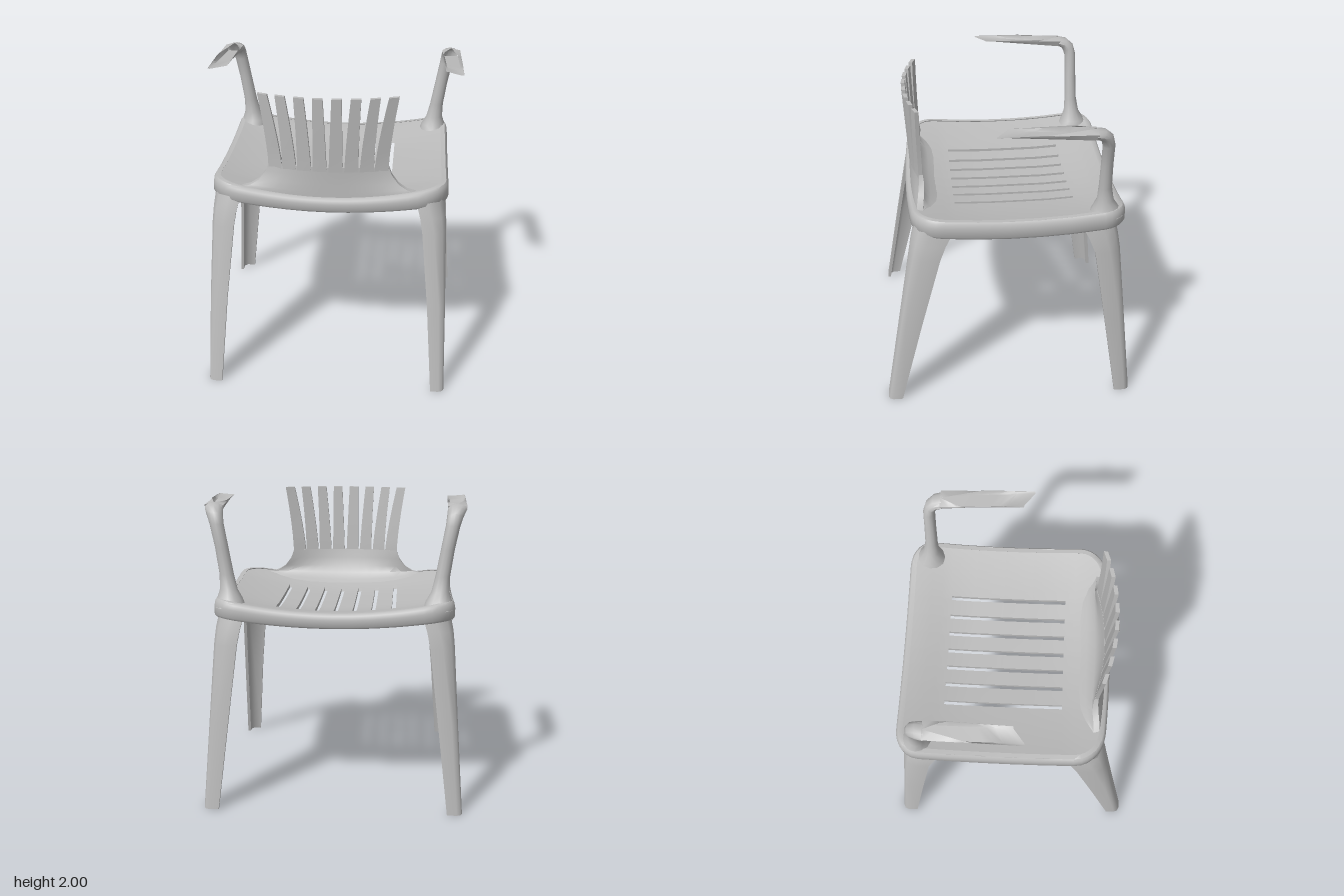
import * as THREE from 'three';
import { toCreasedNormals } from 'three/addons/utils/BufferGeometryUtils.js';

const plastic = new THREE.MeshStandardMaterial({ color: 0xbcbcbc, side: THREE.DoubleSide });
plastic.name = 'grey plastic';
const { lerp, smoothstep } = THREE.MathUtils;

// Collects quads and makes a mesh with smooth faces and sharp edges
function meshFromQuads(name, quads, crease = 0.7) {
  const pos = [];
  for (const [a, b, c, d] of quads) pos.push(...a, ...b, ...c, ...a, ...c, ...d);
  const geo = new THREE.BufferGeometry();
  geo.setAttribute('position', new THREE.Float32BufferAttribute(pos, 3));
  const mesh = new THREE.Mesh(toCreasedNormals(geo, crease), plastic);
  mesh.name = name;
  return mesh;
}

// Quads between successive cross-sections
function loft(rings, closed = true) {
  const quads = [];
  for (let i = 0; i + 1 < rings.length; i++) {
    const a = rings[i], b = rings[i + 1], n = a.length;
    for (let j = 0; j < (closed ? n : n - 1); j++) {
      const k = (j + 1) % n;
      quads.push([a[j], b[j], b[k], a[k]]);
    }
  }
  return quads;
}

// Seat outline and dished height: sides sweep up to the corners, front and back lips rise
const halfWidth = 0.765;
const corner = (x, start) => {
  const t = Math.min(1, Math.max(0, (Math.abs(x) - start) / (halfWidth - start)));
  return 1 - Math.sqrt(1 - t * t);
};
const backZ = x => 0.63 - 0.07 * Math.min(x * x, 0.36) - 0.19 * corner(x, 0.56);
const frontZ = x => -0.755 + 0.14 * corner(x, 0.6);
const seatY = (x, z) => {
  const side = (x / halfWidth) ** 2, end = Math.abs(z + 0.06) / 0.69;
  return 1.27 + 0.09 * side + 0.05 * (side * end * end + (1 - side) * smoothstep(end, 0.45, 1));
};

function seatColumns() {
  const xs = [0.45, 0.52, 0.58, 0.63, 0.67, 0.7, 0.725, 0.745, 0.758, halfWidth];
  const all = xs.flatMap(x => [x, -x]);
  for (const s of [-0.385, -0.25, -0.125, 0, 0.125, 0.25, 0.385]) all.push(s - 0.014, s + 0.014);
  return all.sort((a, b) => a - b);
}

function makeSeat() {
  const xs = seatColumns();
  const slotRows = [-0.47, -0.3, -0.1, 0.1, 0.33];
  const rowZ = x => [
    ...[0, 0.25, 0.5, 0.75].map(t => lerp(frontZ(x), -0.47, t)),
    ...slotRows,
    ...[0.25, 0.5, 0.75, 1].map(t => lerp(0.33, backZ(x), t)),
  ];
  const top = xs.map(x => rowZ(x).map(z => [x, seatY(x, z), z]));
  const under = top.map(col => col.map(([x, y, z]) => [x, y - 0.025, z]));
  const quads = [];
  for (let i = 0; i + 1 < xs.length; i++) {
    const isSlot = xs[i + 1] - xs[i] < 0.029 && Math.abs(xs[i]) < 0.42;
    for (let j = 0; j + 1 < top[0].length; j++) {
      if (isSlot && j >= 4 && j < 8) {
        // slot side walls
        for (const k of [i, i + 1]) quads.push([top[k][j], top[k][j + 1], under[k][j + 1], under[k][j]]);
        continue;
      }
      quads.push([top[i][j], top[i][j + 1], top[i + 1][j + 1], top[i + 1][j]]);
      quads.push([under[i][j], under[i + 1][j], under[i + 1][j + 1], under[i][j + 1]]);
    }
  }
  return meshFromQuads('seat', quads);
}

// Apron around the seat, slightly deeper at the sides
function makeRim() {
  const xs = seatColumns();
  const outline = xs.map(x => [x, frontZ(x)]);
  for (const z of [-0.4, -0.2, 0, 0.2]) outline.push([halfWidth, z]);
  for (const x of [...xs].reverse()) outline.push([x, backZ(x)]);
  for (const z of [0.2, 0, -0.2, -0.4]) outline.push([-halfWidth, z]);
  const profile = [[-0.03, 0], [0, 0], [0.012, -0.13], [0.018, -0.4], [0.018, -0.87], [0.008, -1], [-0.01, -1], [-0.015, -0.26]];
  const n = outline.length;
  const rings = outline.map(([x, z], i) => {
    const p = outline[(i + n - 1) % n], q = outline[(i + 1) % n];
    const dx = q[0] - p[0], dz = q[1] - p[1], len = Math.hypot(dx, dz) || 1;
    const depth = 0.095 + 0.025 * (x / halfWidth) ** 2;
    return profile.map(([o, h]) => [x + o * dz / len, seatY(x, z) + h * depth, z - o * dx / len]);
  });
  return meshFromQuads('seatRim', loft([...rings, rings[0]]), 0.9);
}

// Backrest: curved surface shared by the lower panel and slats, flatter at its foot
const backrestZ = (x, y) =>
  0.605 + 0.03 * Math.max(0, (y - 1.5) / 0.5) - lerp(0.1, 0.4, smoothstep(y, 1.3, 1.55)) * x * x;

function makeBackPanel() {
  // height, half width, thickness, lift toward the sides
  const stations = [
    [1.28, 0.6, 0.2, 0.2], [1.315, 0.57, 0.13, 0.14], [1.36, 0.51, 0.075, 0.06],
    [1.41, 0.455, 0.05, 0], [1.47, 0.41, 0.035, 0], [1.53, 0.388, 0.025, 0],
  ];
  const steps = 12;
  const rings = stations.map(([y, w, t, lift]) => {
    const outer = [], inner = [];
    for (let k = 0; k <= steps; k++) {
      const u = lerp(-1, 1, k / steps), x = u * w, h = y + lift * x * x;
      const z = backrestZ(x, y) + 0.01;
      outer.push([x, h, z]);
      inner.unshift([x, h, z - lerp(t, Math.min(t, 0.04), u ** 4)]);
    }
    return [...outer, ...inner];
  });
  const top = rings[rings.length - 1], quads = loft(rings);
  for (let k = 0; k < steps; k++) quads.push([top[k], top[k + 1], top[2 * steps - k], top[2 * steps + 1 - k]]);
  return meshFromQuads('backPanel', quads);
}

function makeSlat(bottomX, topX, side) {
  const rings = [];
  for (let i = 0; i <= 7; i++) {
    const t = i / 7, y = lerp(1.5, 2, t);
    const x = side * lerp(bottomX, topX, t ** 1.4);
    const w = lerp(0.045, 0.032, t);
    const ring = [[-w, 0.012], [w, 0.012], [w, -0.014], [-w, -0.014]];
    rings.push(ring.map(([dx, dz]) => [x + dx, y, backrestZ(x + dx, y) + dz]));
  }
  const quads = loft(rings);
  quads.push(rings[7]);
  return meshFromQuads('backSlat', quads);
}

// Legs: hollow angle sections, rounder at the top; stations are y, outer x, outer z, x width, z width
function makeLeg(name, stations, zSide) {
  const rings = stations.map(([y, ox, oz, wx, wz]) => {
    const c = 0.035 + 0.07 * (y / 1.3) ** 3, r = 0.3 * c, t = 0.022;
    const section = [[0, wz], [0, c], [r, r], [c, 0], [wx, 0], [wx, t], [c + 0.01, t], [t, c + 0.01], [t, wz]];
    return section.map(([x, z]) => [ox - x, y, zSide * (oz - z)]);
  });
  const quads = loft(rings);
  const f = rings[0];
  quads.push([f[0], f[1], f[7], f[8]], [f[1], f[2], f[6], f[7]], [f[2], f[3], f[6], f[6]], [f[3], f[4], f[5], f[6]]);
  return meshFromQuads(name, quads, 0.9);
}

// Arm post bending forward into the arm; stations are x, y, z, half width, half depth, tilt
function makeArmPost() {
  const stations = [
    [0.675, 1.34, -0.635, 0.1, 0.115, 0], [0.677, 1.39, -0.63, 0.085, 0.085, 0], [0.685, 1.45, -0.622, 0.058, 0.055, 0],
    [0.698, 1.55, -0.615, 0.047, 0.043, 0], [0.726, 1.72, -0.612, 0.044, 0.04, 0], [0.755, 1.87, -0.61, 0.046, 0.04, 0.1],
    [0.768, 1.925, -0.595, 0.052, 0.042, 0.6], [0.778, 1.955, -0.565, 0.058, 0.038, 1.1], [0.785, 1.968, -0.52, 0.062, 0.03, 1.5],
  ];
  const rings = stations.map(([x, y, z, w, d, tilt]) => {
    const ring = [];
    for (let k = 0; k < 12; k++) {
      const a = k / 12 * Math.PI * 2, s = d * Math.sin(a);
      ring.push([x + w * Math.cos(a), y - s * Math.sin(tilt), z + s * Math.cos(tilt)]);
    }
    return ring;
  });
  return meshFromQuads('armPost', loft(rings));
}

// Open-topped arm, thinning toward its tip
function makeArm() {
  const rings = [];
  for (let i = 0; i <= 10; i++) {
    const t = i / 10;
    const xi = lerp(0.722, 0.74, t), xo = lerp(0.848, 0.86, t), xc = 0.785;
    const zi = lerp(-0.53, 0.02, t), zo = lerp(-0.53, 0.09, t);
    const low = lerp(1.942, 1.997, t), top = 2;
    rings.push([
      [lerp(xc, xi, Math.min(1, t / 0.24)), top, zi], [xi, lerp(1.985, top, t), zi],
      [xi + 0.015, low, zi], [xo - 0.015, low, zo],
      [xo, lerp(1.985, top, t), zo], [lerp(xc, xo, Math.min(1, t / 0.45)), top, zo],
    ]);
  }
  return meshFromQuads('arm', loft(rings, false));
}

export function createModel() {
  const chair = new THREE.Group();
  chair.name = 'chair';
  chair.add(makeSeat(), makeRim(), makeBackPanel());

  const slats = new THREE.Group();
  slats.name = 'backSlats';
  for (const [b, t] of [[0.052, 0.06], [0.152, 0.18], [0.25, 0.3], [0.344, 0.415]])
    for (const side of [1, -1]) slats.add(makeSlat(b, t, side));
  chair.add(slats);

  const rearLeg = [[0, 0.805, 0.838, 0.09, 0.098], [0.6, 0.79, 0.735, 0.12, 0.15], [1.1, 0.775, 0.648, 0.155, 0.2], [1.2, 0.768, 0.63, 0.165, 0.22], [1.3, 0.755, 0.605, 0.18, 0.25]];
  const frontLeg = [[0, 0.855, 0.838, 0.1, 0.105], [0.6, 0.815, 0.78, 0.13, 0.14], [1.1, 0.785, 0.735, 0.16, 0.175], [1.2, 0.775, 0.72, 0.17, 0.2], [1.3, 0.755, 0.7, 0.18, 0.23]];
  for (const side of [1, -1]) {
    const half = new THREE.Group();
    half.name = side > 0 ? 'leftLegsAndArm' : 'rightLegsAndArm';
    half.add(makeLeg('backrestLeg', rearLeg, 1), makeLeg('armLeg', frontLeg, -1), makeArmPost(), makeArm());
    half.scale.x = side;
    chair.add(half);
  }
  return chair;
}
